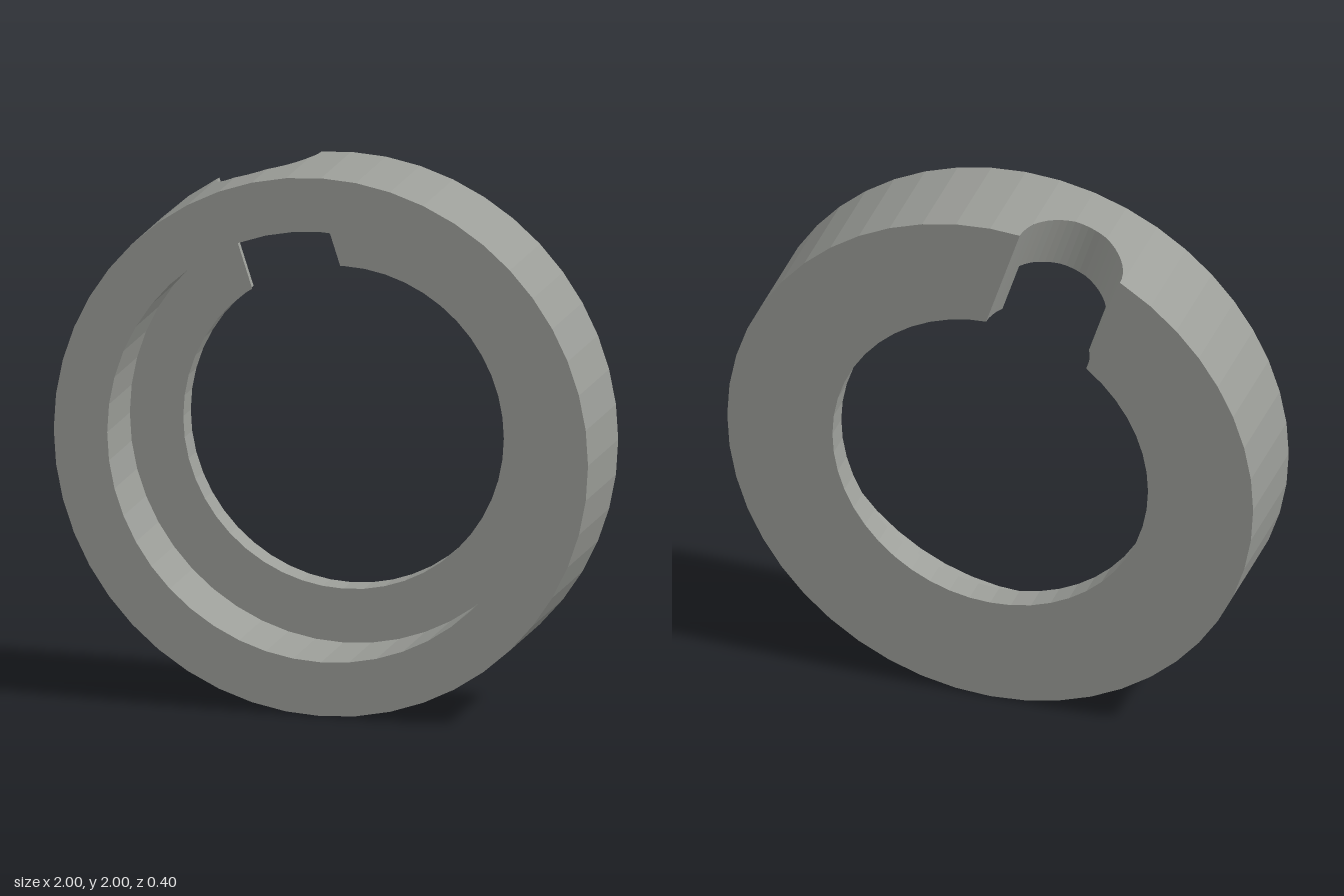
import * as THREE from 'three';

const SIDES = 48, STEP = (Math.PI * 2) / SIDES, PHASE = THREE.MathUtils.degToRad(3);
const TILT = THREE.MathUtils.degToRad(18);          // notch leans towards -x
const OUTER = 1, BORE = 0.8, LIP = 0.6;             // radii
const BACK = -0.2, SHELF = -0.1, FRONT = 0.2;       // depths
const HOLE = 0.2, HOLE_SIDES = 24;                  // half-round radial notch
const SHELF_HALF = HOLE * Math.cos(Math.PI / 6);    // notch half width at the shelf

// Point on the faceted circle; angle runs clockwise from the notch axis
function onRing(R, a) {
  const m = THREE.MathUtils.euclideanModulo(a - PHASE, STEP);
  const r = (R * Math.cos(STEP / 2)) / Math.cos(m - STEP / 2);
  return new THREE.Vector2(r * Math.sin(a), r * Math.cos(a));
}

// Angle at which the faceted circle has the sideways offset u
function angleAt(R, u) {
  let a = Math.asin(u / R);
  for (let i = 0; i < 4; i++) a = Math.asin(u / onRing(R, a).length());
  return a;
}

const holeU = (i) => HOLE * Math.cos((i / HOLE_SIDES) * Math.PI);
const holeZ = (i) => BACK + HOLE * Math.sin((i / HOLE_SIDES) * Math.PI);

// All points round a circle, including the columns where the notch crosses it
function ring(R) {
  const angles = [];
  for (let k = 0; k < SIDES; k++) angles.push(PHASE + k * STEP);
  for (let i = 0; i <= HOLE_SIDES; i++) {
    angles.push(THREE.MathUtils.euclideanModulo(angleAt(R, holeU(i)), Math.PI * 2));
  }
  return angles.sort((a, b) => a - b).map((a) => onRing(R, a));
}

const openRing = (R, half) => ring(R).filter((p) => p.y < 0 || Math.abs(p.x) >= half - 1e-5);

function flat(positions) {
  const g = new THREE.BufferGeometry();
  g.setAttribute('position', new THREE.Float32BufferAttribute(positions, 3));
  g.computeVertexNormals();
  return g;
}

function quad(out, a, b, c, d, flip) {
  const order = flip ? [a, c, b, a, d, c] : [a, b, c, a, c, d];
  order.forEach((p) => out.push(...p));
}

// Round wall between two depths, trimmed by the notch
function wall(R, lo, hi, outward) {
  const pts = ring(R), out = [];
  const low = (p) => {
    const cut = p.y > 0 && Math.abs(p.x) < HOLE
      ? BACK + Math.sqrt(HOLE * HOLE - p.x * p.x) : BACK;
    return THREE.MathUtils.clamp(cut, lo, hi);
  };
  pts.forEach((p, i) => {
    const q = pts[(i + 1) % pts.length], zp = low(p), zq = low(q);
    if (hi - zp < 1e-5 && hi - zq < 1e-5) return;
    quad(out, [p.x, p.y, zp], [q.x, q.y, zq], [q.x, q.y, hi], [p.x, p.y, hi], outward);
  });
  return flat(out);
}

// Flat C-shaped face, open at the notch; half = 0 gives a closed ring
function face(R, r, z, half, backwards) {
  let shape;
  if (half) {
    shape = new THREE.Shape([...openRing(R, half), ...openRing(r, half).reverse()]);
  } else {
    shape = new THREE.Shape(ring(R));
    shape.holes.push(new THREE.Path(ring(r)));
  }
  const g = new THREE.ShapeGeometry(shape);
  if (backwards) g.index.array.reverse();
  const f = g.toNonIndexed().translate(0, 0, z);
  f.computeVertexNormals();
  return f;
}

// Half-round wall of the notch, deeper where it passes through the lip
function notchWall() {
  const out = [];
  const at = (R, i) => {
    const p = onRing(R, angleAt(R, holeU(i)));
    return [p.x, p.y, holeZ(i)];
  };
  for (let i = 0; i < HOLE_SIDES; i++) {
    const inLip = (holeZ(i) + holeZ(i + 1)) / 2 < SHELF;
    const r = inLip ? LIP : BORE;
    quad(out, at(r, i), at(r, i + 1), at(OUTER, i + 1), at(OUTER, i), false);
  }
  return flat(out);
}

export function createModel() {
  const grey = new THREE.MeshStandardMaterial({ color: 0x9b9d98 });
  grey.name = 'warm grey';

  const collar = new THREE.Group();
  collar.name = 'notchedCollar';
  const parts = {
    outerWall: wall(OUTER, BACK, FRONT, true),
    boreWall: wall(BORE, SHELF, FRONT, false),
    lipWall: wall(LIP, BACK, SHELF, false),
    frontFace: face(OUTER, BORE, FRONT, 0, false),
    shelfFace: face(BORE, LIP, SHELF, SHELF_HALF, false),
    backFace: face(OUTER, LIP, BACK, HOLE, true),
    notchWall: notchWall(),
  };
  for (const [name, geometry] of Object.entries(parts)) {
    const mesh = new THREE.Mesh(geometry, grey);
    mesh.name = name;
    collar.add(mesh);
  }
  collar.rotation.z = TILT;
  collar.position.y = OUTER;

  const model = new THREE.Group();
  model.name = 'ring';
  model.add(collar);
  return model;
}
